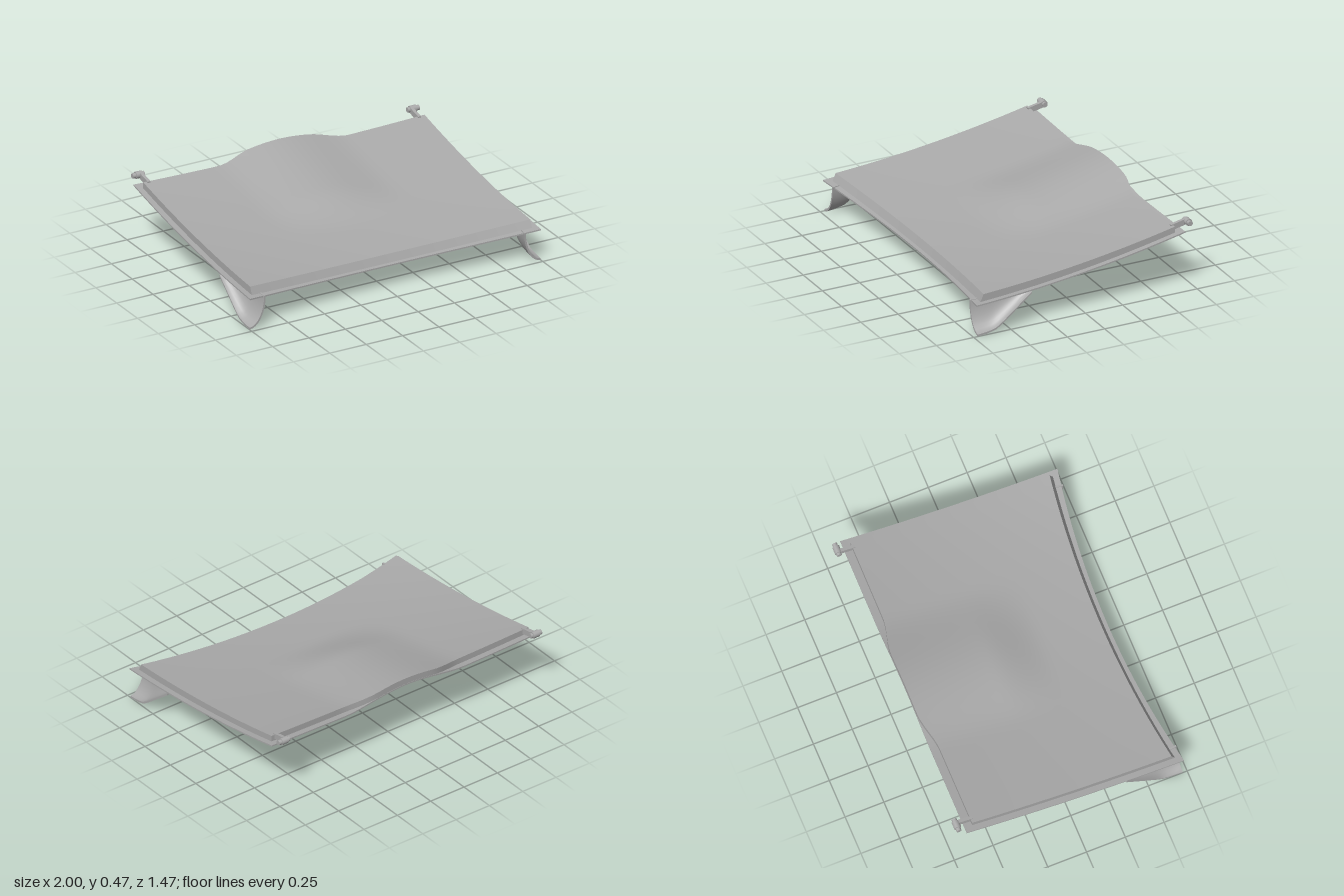
import * as THREE from 'three';
import { toCreasedNormals } from 'three/addons/utils/BufferGeometryUtils.js';

const { lerp, smoothstep } = THREE.MathUtils;

// Height of the curved sheet: rising to the back, sagging in the middle, with a central bulge
function sheetY(x, z) {
  const slope = 0.275 - 0.1393 * z + 0.0595 * z * z;
  const sag = (0.0325 + 0.0255 * z) * (1 - x * x);
  const halfWidth = 0.45;
  const across = Math.max(0, 1 - (x / halfWidth) ** 2) ** 2;
  const along = smoothstep(-z, -0.24, 0.12);
  return slope - sag + 0.05 * across * along;
}

// Piecewise linear reading of [position, value] points
function along(points, p) {
  for (let i = 1; i < points.length; i++) {
    const [a, va] = points[i - 1], [b, vb] = points[i];
    if (p <= b) return lerp(va, vb, Math.max(0, (p - a) / (b - a)));
  }
  return points[points.length - 1][1];
}

// Closed solid between two surfaces; u runs to +x and v to +z
function slab(top, bottom, nu, nv) {
  const positions = [], index = [];
  const row = nv + 1, layer = (nu + 1) * row;
  for (const surface of [top, bottom])
    for (let i = 0; i <= nu; i++)
      for (let j = 0; j <= nv; j++) positions.push(...surface(i / nu, j / nv));
  const quad = (a, b, c, d) => index.push(a, b, c, a, c, d);
  const at = (i, j) => i * row + j;
  for (let i = 0; i < nu; i++)
    for (let j = 0; j < nv; j++) {
      const a = at(i, j), b = at(i, j + 1), c = at(i + 1, j + 1), d = at(i + 1, j);
      quad(a, b, c, d);
      quad(a + layer, d + layer, c + layer, b + layer);
    }
  const wall = (a, b) => quad(a, a + layer, b + layer, b);
  for (let i = 0; i < nu; i++) {
    wall(at(i, nv), at(i + 1, nv));
    wall(at(i + 1, 0), at(i, 0));
  }
  for (let j = 0; j < nv; j++) {
    wall(at(0, j), at(0, j + 1));
    wall(at(nu, j + 1), at(nu, j));
  }
  const geometry = new THREE.BufferGeometry();
  geometry.setAttribute('position', new THREE.Float32BufferAttribute(positions, 3));
  geometry.setIndex(index);
  return toCreasedNormals(geometry, 0.5);
}

export function createModel() {
  const group = new THREE.Group();
  const grey = new THREE.MeshStandardMaterial({ color: 0xaaaaaa });
  grey.name = 'plain grey';
  const add = (name, geometry, parent = group) => {
    const mesh = new THREE.Mesh(geometry, grey);
    mesh.name = name;
    parent.add(mesh);
    return mesh;
  };

  // Thin lower sheet whose rim shows around the raised panel
  const sheet = (drop) => (u, v) => {
    const x = 2 * u - 1;
    const z = lerp(-0.67, 0.64 + 0.09 * x * x, v);
    return [x, sheetY(x, z) - drop, z];
  };
  add('lowerSheet', slab(sheet(0), sheet(0.009), 40, 30));

  // Raised panel with a sloping front wall; its back reaches further at the bulge
  const panel = (lift, frontReach) => (u, v) => {
    const x = 0.963 * (2 * u - 1);
    const back = lerp(-0.668, -0.62, smoothstep(Math.abs(x), 0.2, 0.45));
    const z = lerp(back, 0.595 + 0.075 * x * x + frontReach, v);
    return [x, sheetY(x, z) + lift * lerp(0.9, 1.08, v), z];
  };
  add('raisedPanel', slab(panel(0.043, 0), panel(-0.003, 0.023), 40, 30));

  // Curved corner feet, flaring outward and tapering into the rim
  const footEdge = [[0.36, 0.218], [0.56, 0.057], [0.6, 0.032], [0.65, 0.019], [0.722, 0.012]];
  const foot = (side, thickness) => (u, v) => {
    const angle = (side > 0 ? u : 1 - u) * Math.PI / 2;
    const z = lerp(0.36, 0.722, v);
    const inner = lerp(0.98, 0.9, Math.sqrt(v));
    const topY = sheetY(1, z) - 0.006;
    const x = lerp(1, inner, Math.cos(angle)) - thickness * Math.cos(angle);
    const y = lerp(topY, along(footEdge, z), Math.sin(angle)) - thickness * Math.sin(angle);
    return [side * x, y, z];
  };

  for (const side of [1, -1]) {
    const label = side > 0 ? 'left' : 'right';
    add(label + 'Foot', slab(foot(side, 0), foot(side, 0.012), 8, 12));

    // Hinge arm with a stepped pin at its end
    const hinge = new THREE.Group();
    hinge.name = label + 'Hinge';
    group.add(hinge);
    const arm = add('hingeArm', new THREE.BoxGeometry(0.02, 0.036, 0.11), hinge);
    arm.position.set(side * 0.93, 0.418, -0.662);
    arm.rotation.x = 0.2;
    for (const [name, radius, from, to] of [['hingePin', 0.022, 0.92, 0.965], ['hingePinEnd', 0.016, 0.905, 0.985]]) {
      const pin = add(name, new THREE.CylinderGeometry(radius, radius, to - from, 16), hinge);
      pin.rotation.z = Math.PI / 2;
      pin.position.set(side * (from + to) / 2, 0.43, -0.713);
    }
  }
  return group;
}
